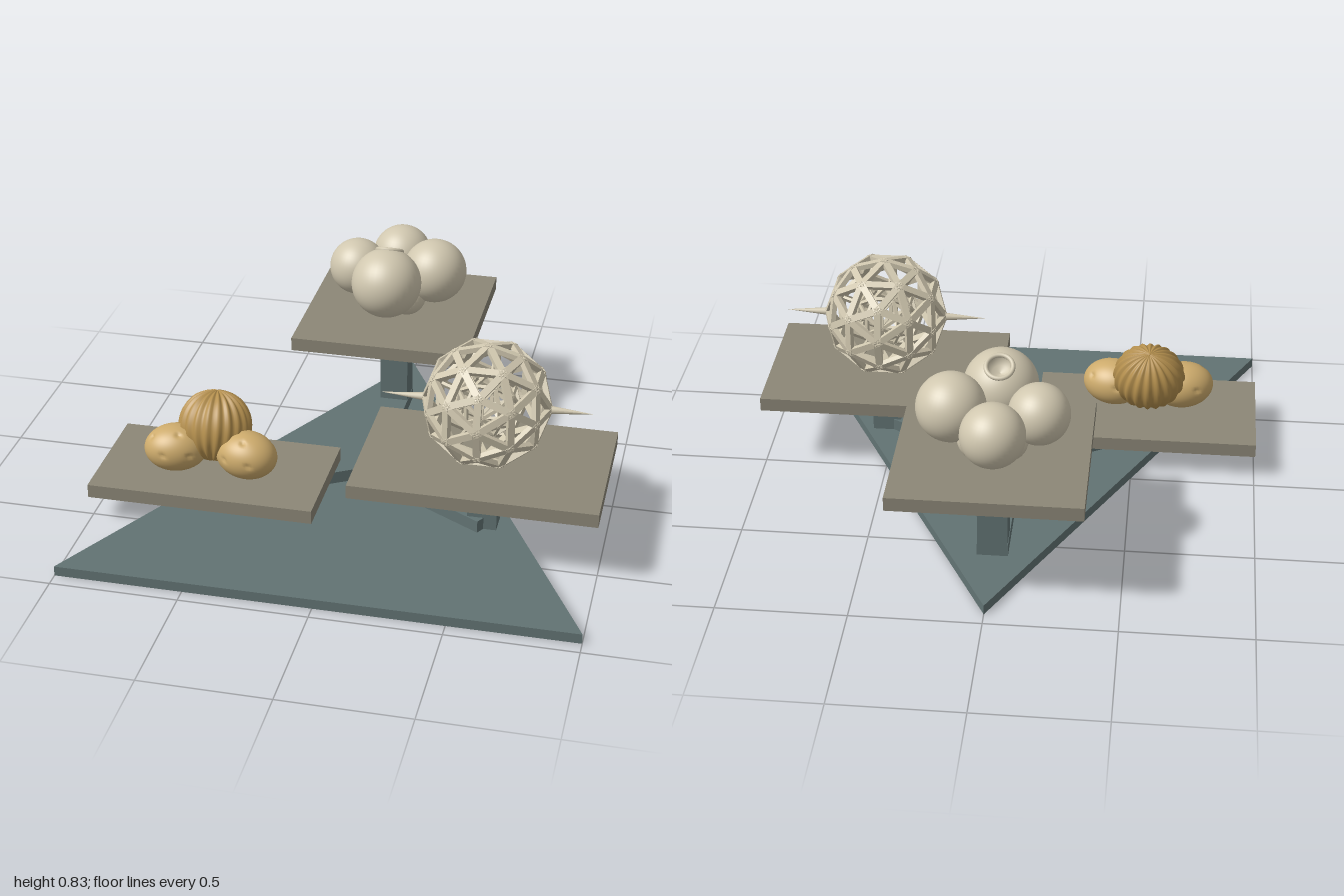
import * as THREE from 'three';
import { mergeGeometries } from 'three/addons/utils/BufferGeometryUtils.js';

const mat = (color, opts = {}) => {
  const m = new THREE.MeshStandardMaterial(opts);
  m.color.set(color);
  return m;
};
const slate = mat(0x627373), stone = mat(0x8c8777);
const chalk = mat(0xd0c7af), chalkOpen = mat(0xd0c7af, { side: THREE.DoubleSide });
const tan = mat(0xcdab6c), brown = mat(0xb5904e);

function add(parent, name, geometry, material, x = 0, y = 0, z = 0) {
  const mesh = new THREE.Mesh(geometry, material);
  mesh.name = name;
  mesh.position.set(x, y, z);
  parent.add(mesh);
  return mesh;
}

// Triangular plinth and the three-armed foot bar
function addBase(root) {
  const shape = new THREE.Shape([[-1, -0.945], [1, -0.945], [0, 0.945]].map(p => new THREE.Vector2(...p)));
  const plate = new THREE.ExtrudeGeometry(shape, { depth: 0.04, bevelEnabled: false });
  add(root, 'basePlate', plate.rotateX(-Math.PI / 2), slate);

  const foot = new THREE.Shape();
  const w = 0.06, length = 0.63;
  for (let i = 0; i < 3; i++) {
    const a = Math.PI / 2 + i * Math.PI * 2 / 3;
    const c = Math.cos(a), s = Math.sin(a);
    for (const [u, v] of [[w / Math.sqrt(3), -w], [length, -w], [length, w]]) {
      const x = u * c - v * s, y = u * s + v * c;
      if (i === 0 && u < 0.1) foot.moveTo(x, y);
      else foot.lineTo(x, y);
    }
  }
  foot.closePath();
  const bar = new THREE.ExtrudeGeometry(foot, { depth: 0.05, bevelEnabled: false });
  add(root, 'footBar', bar.rotateX(-Math.PI / 2), slate, 0, 0.04, 0);
}

// Post with a rectangular display platform
function addStand(root, name, x, z, top, width, depth, postX, postZ) {
  const stand = new THREE.Group();
  stand.name = name;
  const h = top - 0.095;
  add(stand, 'post', new THREE.BoxGeometry(0.116, h, 0.116), slate, postX, 0.04 + h / 2, postZ);
  add(stand, 'platform', new THREE.BoxGeometry(width, 0.055, depth), stone, x, top - 0.0275, z);
  root.add(stand);
}

// Ellipsoid whose vertices are scaled by a rule on their unit direction
function shaped(rx, ry, rz, rule, segs = 48) {
  const g = new THREE.SphereGeometry(1, segs, segs / 2);
  const p = g.attributes.position, v = new THREE.Vector3();
  for (let i = 0; i < p.count; i++) {
    v.fromBufferAttribute(p, i);
    v.multiplyScalar(rule(v));
    p.setXYZ(i, v.x * rx, v.y * ry, v.z * rz);
  }
  g.computeVertexNormals();
  return g;
}

// Ribbed ball between two pitted ovals
function addSeeds(root) {
  const group = new THREE.Group();
  group.name = 'ovalGroup';
  const ribs = v => 1 + 0.035 * Math.cos(20 * Math.atan2(v.z, v.x)) * Math.min(1, 1.6 * Math.hypot(v.x, v.z));
  const ball = add(group, 'ribbedBall', shaped(0.142, 0.14, 0.125, ribs, 120), brown, -0.555, 0.33, 0.267);
  ball.rotation.x = -0.35;

  const pits = [[-0.4, 0.1, 0.9], [0.45, 0.05, 0.9], [0.1, 0.85, 0.5], [-0.7, 0.6, 0.2], [0.6, 0.5, -0.6], [-0.3, 0.2, -0.9]]
    .map(p => new THREE.Vector3(...p).normalize());
  const pitted = v => 1 - pits.reduce((s, p) => s + 0.09 * Math.exp(-v.distanceToSquared(p) / 0.008), 0);
  for (const side of [-1, 1]) {
    const oval = add(group, 'pittedOval', shaped(0.126, 0.094, 0.1, pitted, 72), tan, -0.552 + side * 0.143, 0.256, 0.34);
    oval.rotation.y = side * -0.25;
  }
  root.add(group);
}

// Cluster of round chambers, the front one with an opening
function addChambers(root) {
  const group = new THREE.Group();
  group.name = 'chamberCluster';
  for (const [x, y, z, r] of [[-0.172, 0.665, -0.593, 0.117], [0.154, 0.677, -0.592, 0.132], [-0.016, 0.665, -0.755, 0.122]]) {
    add(group, 'chamber', new THREE.SphereGeometry(r, 40, 28), chalk, x, y, z);
  }
  for (let i = 0; i < 4; i++) {
    const a = i * Math.PI / 2 + Math.PI / 4;
    add(group, 'smallChamber', new THREE.SphereGeometry(0.08, 28, 18), chalk,
      -0.005 + 0.075 * Math.cos(a), 0.577, -0.59 + 0.075 * Math.sin(a));
  }
  add(group, 'innerChamber', new THREE.SphereGeometry(0.045, 24, 16), chalk, -0.01, 0.635, -0.59);

  const r = 0.143, open = 0.36;
  const front = new THREE.Group();
  front.name = 'openChamber';
  front.position.set(-0.016, 0.68, -0.428);
  front.rotation.x = -0.5;
  add(front, 'shell', new THREE.SphereGeometry(r, 40, 28, 0, Math.PI * 2, open, Math.PI - open), chalkOpen);
  const rim = add(front, 'rim', new THREE.TorusGeometry(r * Math.sin(open), 0.009, 10, 32), chalk, 0, r * Math.cos(open), 0);
  rim.rotation.x = Math.PI / 2;
  const hollow = [[0.001, 0.085], [0.03, 0.093], [0.047, 0.115], [0.05, 0.134]].map(p => new THREE.Vector2(...p));
  add(front, 'hollow', new THREE.LatheGeometry(hollow, 32), chalkOpen);
  group.add(front);
  root.add(group);
}

// Square bar between two points, its depth facing away from the centre
function strut(a, b, width, depth) {
  const along = b.clone().sub(a), mid = a.clone().add(b).multiplyScalar(0.5);
  const g = new THREE.BoxGeometry(width, along.length() + width * 0.3, depth);
  const y = along.normalize();
  let out = mid.clone().normalize();
  if (Math.abs(out.dot(y)) > 0.9) out = new THREE.Vector3(y.y, y.z, y.x);
  const x = y.clone().cross(out).normalize();
  const z = x.clone().cross(y);
  return g.applyMatrix4(new THREE.Matrix4().makeBasis(x, y, z).setPosition(mid));
}

// Unique points and edges of a subdivided icosahedron
function lattice(radius, detail) {
  const p = new THREE.IcosahedronGeometry(radius, detail).attributes.position;
  const points = [], index = new Map(), edges = new Map();
  const id = i => {
    const v = new THREE.Vector3().fromBufferAttribute(p, i);
    const key = v.toArray().map(n => Math.round(n * 1e4)).join();
    if (!index.has(key)) index.set(key, points.push(v) - 1);
    return index.get(key);
  };
  for (let i = 0; i < p.count; i += 3) {
    const t = [id(i), id(i + 1), id(i + 2)];
    t.forEach((m, k) => {
      const n = t[(k + 1) % 3];
      edges.set(Math.min(m, n) + '_' + Math.max(m, n), [points[m], points[n]]);
    });
  }
  return { points, edges: [...edges.values()] };
}

// Open lattice globe with an inner cage and two spines
function addGlobe(root) {
  const globe = new THREE.Group();
  globe.name = 'latticeGlobe';
  globe.position.set(0.524, 0.564, 0.272);
  const cage = (r, detail, w, d) => mergeGeometries(lattice(r, detail).edges.map(([a, b]) => strut(a, b, w, d)));
  add(globe, 'outerLattice', cage(0.24, 1, 0.027, 0.02), chalk);
  add(globe, 'innerLattice', cage(0.125, 1, 0.013, 0.011), chalk);
  const spokes = lattice(1, 0).points.map(p =>
    strut(p.clone().multiplyScalar(0.125), p.clone().multiplyScalar(0.24), 0.011, 0.011));
  add(globe, 'spokes', mergeGeometries(spokes), chalk);
  for (const side of [-1, 1]) {
    const spine = add(globe, 'spine', new THREE.ConeGeometry(0.017, 0.18, 12), chalk, side * 0.318, 0, 0);
    spine.rotation.z = -side * Math.PI / 2;
  }
  root.add(globe);
}

export function createModel() {
  const root = new THREE.Group();
  root.name = 'displayStand';
  addBase(root);
  addStand(root, 'leftSideStand', 0.523, 0.272, 0.32, 0.954, 0.622, 0.527, 0.277);
  addStand(root, 'rightSideStand', -0.55, 0.297, 0.16, 0.9, 0.495, -0.55, 0.297);
  addStand(root, 'backStand', -0.002, -0.575, 0.5, 0.724, 0.747, 0, -0.572);
  addSeeds(root);
  addChambers(root);
  addGlobe(root);
  return root;
}
